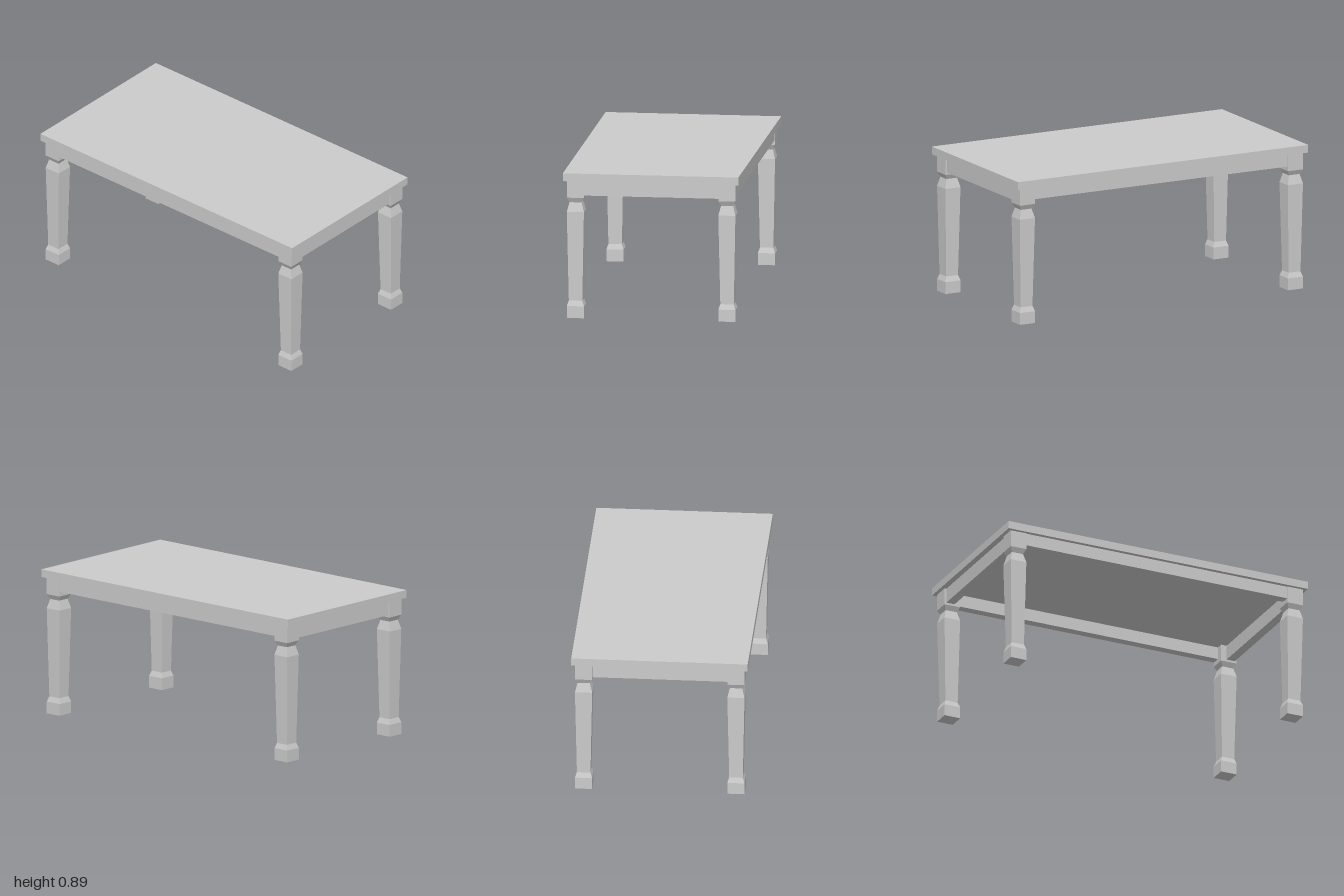
import * as THREE from 'three';

const material = new THREE.MeshStandardMaterial({ color: 0xcccccc, flatShading: true });

// Box given by its size and centre
function addBox(group, name, [w, h, d], [x, y, z]) {
  const mesh = new THREE.Mesh(new THREE.BoxGeometry(w, h, d), material);
  mesh.position.set(x, y, z);
  mesh.name = name;
  group.add(mesh);
}

// Square turned leg: four-sided lathe over [half width, height] steps
function legGeometry(top) {
  const profile = [
    [0, 0], [0.052, 0], [0.052, 0.073], [0.041, 0.105], [0.052, 0.65],
    [0.037, 0.707], [0.052, 0.737], [0.052, top], [0, top],
  ];
  const points = profile.map(([half, y]) => new THREE.Vector2(half * Math.SQRT2, y));
  return new THREE.LatheGeometry(points, 4, Math.PI / 4);
}

export function createModel() {
  const table = new THREE.Group();
  table.name = 'table';

  const topY = 0.89, underY = 0.842;
  const legX = 0.924, legZ = 0.46, half = 0.052;

  // Tabletop
  addBox(table, 'tabletop', [2, topY - underY, 1.066], [0, (topY + underY) / 2, 0]);

  // Legs
  const leg = legGeometry(underY);
  for (const sx of [-1, 1]) {
    for (const sz of [-1, 1]) {
      const mesh = new THREE.Mesh(leg, material);
      mesh.position.set(sx * legX, 0, sz * legZ);
      mesh.name = (sz > 0 ? 'front' : 'back') + (sx > 0 ? 'Left' : 'Right') + 'Leg';
      table.add(mesh);
    }
  }

  // Aprons between the legs: long pair nearly flush, short pair set back
  const thick = 0.055, longH = underY - 0.765, shortH = underY - 0.75;
  const longZ = legZ + half - 0.004 - thick / 2;
  const shortX = legX + half - 0.012 - thick / 2;
  for (const s of [-1, 1]) {
    addBox(table, s > 0 ? 'frontApron' : 'backApron',
      [2 * (legX - half), longH, thick], [0, underY - longH / 2, s * longZ]);
    addBox(table, s > 0 ? 'leftApron' : 'rightApron',
      [thick, shortH, 2 * (legZ - half)], [s * shortX, underY - shortH / 2, 0]);
  }

  return table;
}
